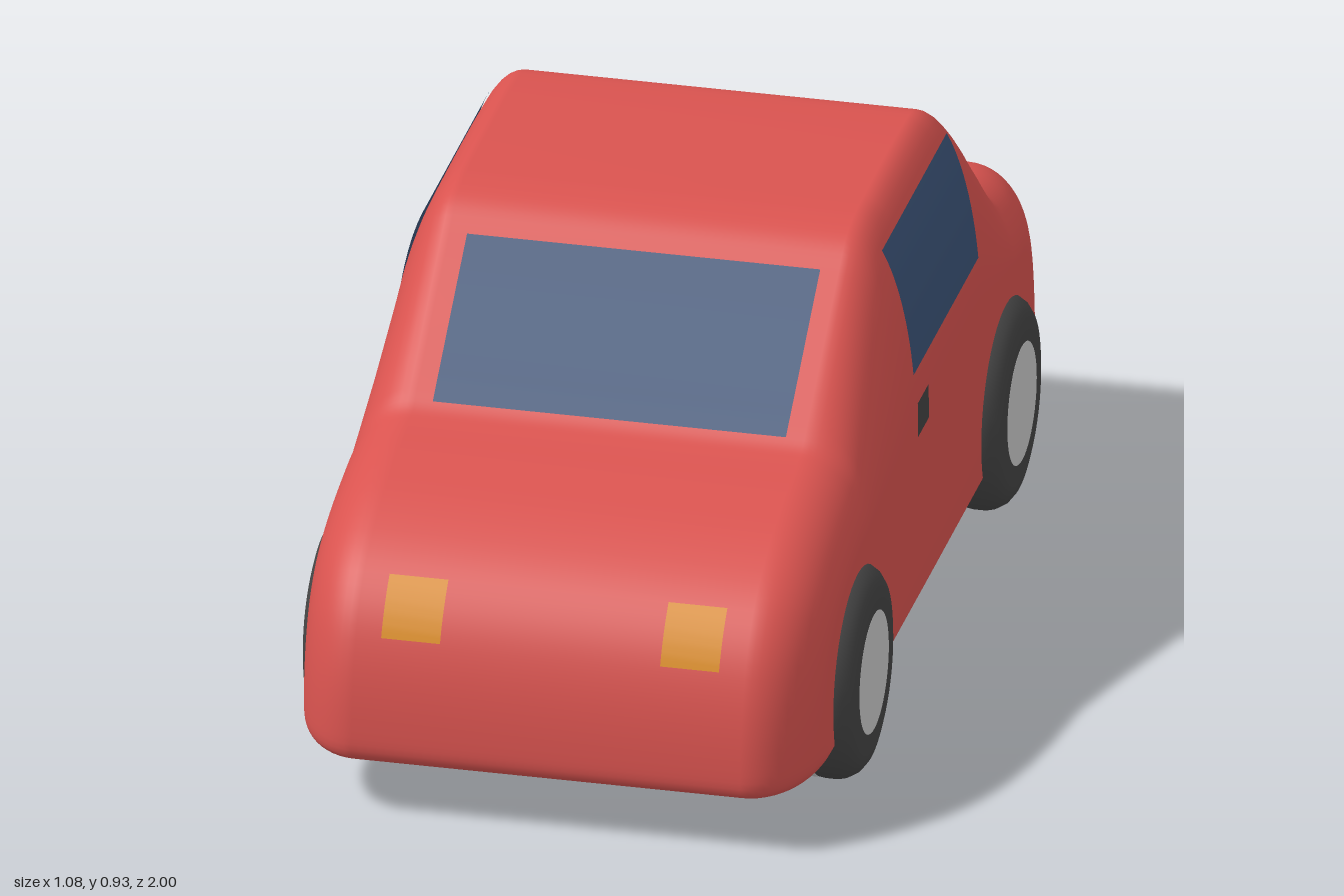
import * as THREE from 'three';

const paint = (color, side = THREE.FrontSide) => new THREE.MeshStandardMaterial({ color, side });
const RED = paint(0xd9534f);
const GLASS = paint(0x3b5377, THREE.DoubleSide);
const AMBER = paint(0xda8c1c, THREE.DoubleSide);
const DARK = paint(0x444444, THREE.DoubleSide);
const GREY = paint(0xcccccc);

const FLAT = 0.38, BULGE = 0.128; // half width of the flat middle, and of the rounded flank

// Side profile [z, y] at the middle, paired with the inset profile [z, y] at the widest point
const STATIONS = [
  [0.9, 0.112, 0.72, 0.145], [0.97, 0.116, 0.79, 0.15], [0.995, 0.135, 0.815, 0.165],
  [0.998, 0.19, 0.82, 0.2], [0.98, 0.31, 0.81, 0.28], [0.94, 0.41, 0.78, 0.35],
  [0.87, 0.49, 0.73, 0.4], [0.75, 0.555, 0.66, 0.43], [0.62, 0.594, 0.58, 0.45],
  [0.53, 0.614, 0.52, 0.46], [0.49, 0.626, 0.485, 0.46], [0.45, 0.656, 0.45, 0.465],
  [0.19, 0.859, 0.19, 0.49], [0.13, 0.903, 0.13, 0.5], [0.07, 0.92, 0.07, 0.5],
  [-0.02, 0.925, -0.02, 0.5], [-0.37, 0.925, -0.37, 0.5], [-0.44, 0.914, -0.44, 0.5],
  [-0.51, 0.867, -0.51, 0.49], [-0.6, 0.775, -0.6, 0.48], [-0.7, 0.662, -0.7, 0.47],
  [-0.74, 0.625, -0.73, 0.465], [-0.78, 0.616, -0.76, 0.46], [-0.87, 0.602, -0.8, 0.455],
  [-0.92, 0.575, -0.83, 0.44], [-0.955, 0.51, -0.855, 0.41], [-0.98, 0.4, -0.875, 0.34],
  [-0.998, 0.19, -0.885, 0.2], [-0.995, 0.135, -0.88, 0.165], [-0.96, 0.114, -0.85, 0.15],
  [-0.88, 0.112, -0.78, 0.145],
];
const N = STATIONS.length * 4;
const sample = (col) => {
  const curve = new THREE.CatmullRomCurve3(
    STATIONS.map((s) => new THREE.Vector3(0, s[col + 1], s[col])), true);
  return Array.from({ length: N }, (_, i) => curve.getPoint(i / N));
};
const OUTER = sample(0), INNER = sample(2);

// Grid of (rows + 1) x (cols + 1) points given by a function
function gridMesh(name, material, rows, cols, point) {
  const pos = [], index = [];
  for (let i = 0; i <= rows; i++) {
    for (let j = 0; j <= cols; j++) pos.push(...point(i / rows, j / cols));
  }
  const w = cols + 1;
  for (let i = 0; i < rows; i++) {
    for (let j = 0; j < cols; j++) {
      const a = i * w + j;
      index.push(a, a + 1, a + w, a + 1, a + w + 1, a + w);
    }
  }
  const geo = new THREE.BufferGeometry();
  geo.setAttribute('position', new THREE.Float32BufferAttribute(pos, 3));
  geo.setIndex(index);
  geo.computeVertexNormals();
  const mesh = new THREE.Mesh(geo, material);
  mesh.name = name;
  return mesh;
}

// Body shell: cross-section loops from the right flank to the left flank
function bodyShell() {
  const STEPS = 14, half = [];
  for (let k = 0; k <= STEPS; k++) {
    const t = (k / STEPS) * Math.PI / 2;
    half.push({ x: FLAT + BULGE * Math.sin(t), inset: 1 - Math.cos(t) });
  }
  half.push({ x: FLAT + BULGE, close: true });
  const rings = [...half.map((r) => ({ ...r, x: -r.x })).reverse(), ...half];
  const pos = [], index = [], w = rings.length;
  for (let i = 0; i < N; i++) {
    for (const r of rings) {
      const p = OUTER[i].clone().lerp(INNER[i], r.close ? 1 : r.inset);
      if (r.close) p.set(0, 0.3, p.z * 0.8);
      pos.push(r.x, p.y, p.z);
    }
  }
  for (let i = 0; i < N; i++) {
    const n = (i + 1) % N;
    for (let j = 0; j < w - 1; j++) {
      const a = i * w + j, b = n * w + j;
      index.push(a, a + 1, b, a + 1, b + 1, b);
    }
  }
  const geo = new THREE.BufferGeometry();
  geo.setAttribute('position', new THREE.Float32BufferAttribute(pos, 3));
  geo.setIndex(index);
  geo.computeVertexNormals();
  const mesh = new THREE.Mesh(geo, RED);
  mesh.name = 'body';
  return mesh;
}

// Depth of the middle profile at height y, towards the front (1) or the back (-1)
function profileZ(y, dir) {
  let best = 0;
  for (let i = 0; i < N; i++) {
    const a = OUTER[i], b = OUTER[(i + 1) % N];
    if ((a.y - y) * (b.y - y) > 0 || a.y === b.y) continue;
    best = Math.max(best, dir * THREE.MathUtils.lerp(a.z, b.z, (y - a.y) / (b.y - a.y)));
  }
  return best * dir;
}

// Panel lying on the front or back of the body
const endPanel = (name, material, x0, x1, y0, y1, dir) =>
  gridMesh(name, material, 12, 1, (u, v) => {
    const y = y0 + (y1 - y0) * u;
    const x = dir > 0 ? x0 + (x1 - x0) * v : x1 + (x0 - x1) * v;
    return [x, y + 0.002, profileZ(y, dir) + 0.004 * dir];
  }).translateZ(0);

// Panel lying on the curved flank
const sidePanel = (name, material, z0, z1, y0, y1, side) =>
  gridMesh(name, material, 12, 1, (u, v) => {
    const y = y0 + (y1 - y0) * u;
    const c = THREE.MathUtils.clamp(1 - (0.925 - y) / 0.425, 0, 1);
    const x = FLAT + BULGE * Math.sqrt(1 - c * c) + 0.003;
    return [side * x, y, side > 0 ? z1 + (z0 - z1) * v : z0 + (z1 - z0) * v];
  });

// Wheel turned about the x axis, with heights measured as distance from the car's middle
const TYRE = [[0.208, 0.455], [0.21, 0.47], [0.21, 0.488], [0.206, 0.505], [0.196, 0.522],
  [0.18, 0.534], [0.16, 0.539], [0.12, 0.539]];
const INNER_WHEEL = [[0, 0.335], [0.1, 0.338], [0.16, 0.344], [0.195, 0.352], [0.206, 0.364],
  [0.209, 0.385], [0.209, 0.455]];
const HUB = [[0.121, 0.538], [0.119, 0.54], [0, 0.54]];

function wheel(name, side, z) {
  const group = new THREE.Group();
  group.name = name;
  for (const [part, pts, mat] of [['tyre', TYRE, DARK], ['innerWheel', INNER_WHEEL, GREY], ['hub', HUB, GREY]]) {
    const geo = new THREE.LatheGeometry(pts.map((p) => new THREE.Vector2(...p)), 48);
    const mesh = new THREE.Mesh(geo, mat);
    mesh.name = part;
    group.add(mesh);
  }
  group.rotation.z = -side * Math.PI / 2;
  group.position.set(0, 0.212, z);
  return group;
}

export function createModel() {
  const car = new THREE.Group();
  car.name = 'car';
  car.add(bodyShell());
  car.add(endPanel('windshield', GLASS, -0.345, 0.345, 0.64, 0.862, 1));
  car.add(endPanel('rearWindow', GLASS, -0.345, 0.345, 0.655, 0.87, -1));
  for (const [label, side] of [['left', 1], ['right', -1]]) {
    const x0 = side > 0 ? 0.215 : -0.33, x1 = side > 0 ? 0.33 : -0.215;
    car.add(endPanel(label + 'Headlight', AMBER, x0, x1, 0.37, 0.473, 1));
    car.add(endPanel(label + 'TailLight', AMBER, x0, x1, 0.415, 0.48, -1));
    car.add(sidePanel(label + 'Window', GLASS, -0.435, 0.1, 0.617, 0.873, side));
    car.add(sidePanel(label + 'DoorHandle', DARK, -0.005, 0.083, 0.48, 0.55, side));
    car.add(wheel(label + 'FrontWheel', side, 0.567));
    car.add(wheel(label + 'RearWheel', side, -0.655));
  }
  return car;
}
